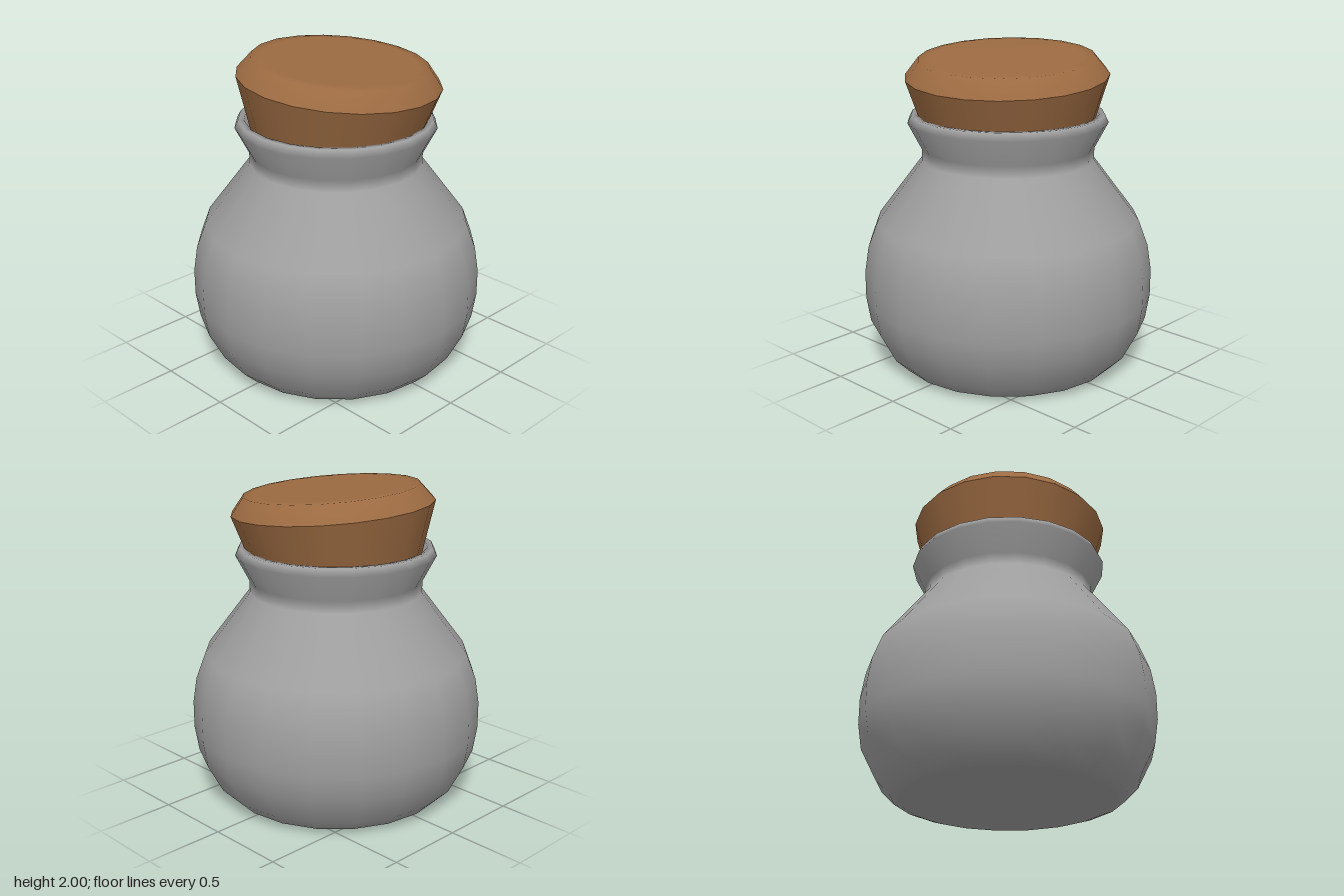
import * as THREE from 'three';

const SIDES = 20;

// Revolve a profile of [radius, height] pairs, listed bottom to top on the outside
function turned(name, profile, material) {
  const points = profile.map(([r, y]) => new THREE.Vector2(r, y));
  const mesh = new THREE.Mesh(new THREE.LatheGeometry(points, SIDES), material);
  mesh.name = name;
  return mesh;
}

export function createModel() {
  const clay = new THREE.MeshStandardMaterial({ color: 0xa0a0a0 });
  clay.name = 'grey clay';
  const cork = new THREE.MeshStandardMaterial({ color: 0x9b6a41 });
  cork.name = 'brown cork';

  const model = new THREE.Group();
  model.name = 'corkedJar';

  // Jar: round belly, pinched neck and flared lip turning inward
  const jar = new THREE.Group();
  jar.name = 'jar';
  jar.add(
    turned('jarBase', [[0, 0], [0.655, 0]], clay),
    turned('jarBody', [
      [0.655, 0], [0.71, 0.02], [0.795, 0.105], [0.89, 0.29], [0.915, 0.45],
      [0.915, 0.62], [0.89, 0.78], [0.83, 0.94], [0.54, 1.325], [0.54, 1.4],
      [0.625, 1.565], [0.602, 1.612], [0.565, 1.612], [0.52, 1.5], [0.5, 1.36],
    ], clay),
  );

  // Stopper: tapered plug with a bevelled top, sitting slightly askew in the neck
  const stopper = new THREE.Group();
  stopper.name = 'stopper';
  stopper.position.y = 1.6;
  stopper.rotation.set(0.072, 0.05, -0.04);
  stopper.add(
    turned('stopperBottom', [[0, -0.16], [0.5, -0.16]], cork),
    turned('stopperSide', [[0.5, -0.16], [0.63, 0.255]], cork),
    turned('stopperTop', [[0.63, 0.255], [0.545, 0.362], [0.48, 0.364], [0, 0.364]], cork),
  );

  model.add(jar, stopper);
  return model;
}
